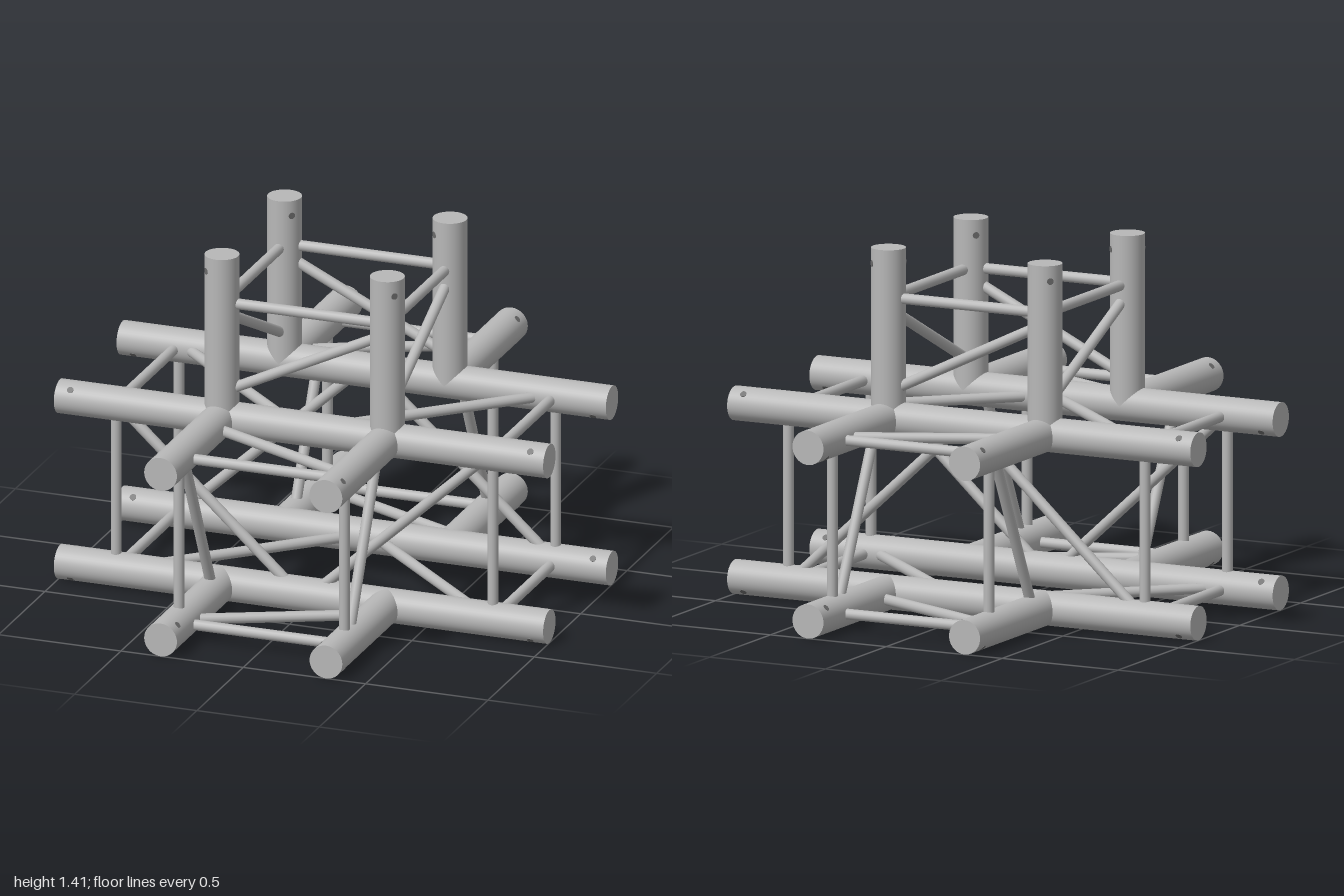
import * as THREE from 'three';

export function createModel() {
  const model = new THREE.Group();
  const metal = new THREE.MeshStandardMaterial({ color: 0xb8b8b8 });
  metal.name = 'aluminium';
  const dark = new THREE.MeshStandardMaterial({ color: 0x6c6c6c });
  dark.name = 'pinHoleGrey';

  const R = 0.067;            // main tube radius
  const r = 0.021;            // brace radius
  const A = 0.338;            // tube axis offset from the centre
  const LOW = R, HIGH = 0.743, TOP = 1.41;
  const UP = new THREE.Vector3(0, 1, 0);

  // Cylinder between two points, optionally lengthened at both ends
  function rod(name, a, b, radius, mat = metal, extra = 0, sides = 16) {
    const p = new THREE.Vector3(...a), q = new THREE.Vector3(...b);
    const dir = q.clone().sub(p);
    const length = dir.length() + 2 * extra;
    const mesh = new THREE.Mesh(new THREE.CylinderGeometry(radius, radius, length, sides), mat);
    mesh.position.copy(p).add(q).multiplyScalar(0.5);
    mesh.quaternion.setFromUnitVectors(UP, dir.normalize());
    mesh.name = name;
    model.add(mesh);
  }
  const tube = (name, a, b) => rod(name, a, b, R, metal, 0, 40);
  const brace = (name, a, b) => rod(name, a, b, r, metal, 0.03);

  // Pin hole running diagonally through a tube
  function pinHole(c, d) {
    const k = (R + 0.001) / Math.SQRT2;
    rod('pinHole', c.map((v, i) => v - d[i] * k), c.map((v, i) => v + d[i] * k), 0.013, dark);
  }

  const signs = [-1, 1];
  const levels = [[LOW, -1], [HIGH, 1]];

  // Main chords, side arms and their pin holes
  for (const s of signs) {
    for (const [y, v] of levels) {
      tube('mainChord', [-1, y, s * A], [1, y, s * A]);
      for (const e of signs) {
        tube('sideArm', [s * A, y, e * A], [s * A, y, e]);
        pinHole([e * 0.94, y, s * A], [0, v, s]);
        pinHole([s * A, y, e * 0.94], [s, v, 0]);
      }
    }
    // Upright posts
    for (const e of signs) {
      tube('uprightPost', [s * A, HIGH, e * A], [s * A, TOP, e * A]);
      pinHole([s * A, 1.35, e * A], [s, 0, e]);
    }
  }

  const G = 0.27;             // half gap between tube surfaces
  const Y0 = 0.135, Y1 = 0.677;

  for (const e of signs) {
    // Straight and diagonal braces on the upper and lower panels
    for (const [y, v] of levels) {
      brace('endBrace', [e * 0.77, y, -G], [e * 0.77, y, G]);
      brace('endBrace', [-G, y, e * 0.8], [G, y, e * 0.8]);
      brace('diagonalBrace', [e * 0.1, y, v * G], [e * 0.68, y, -v * G]);
      brace('diagonalBrace', [-v * G, y, e * 0.48], [v * G, y, e * 0.73]);
    }
    // Straight and diagonal braces on the vertical panels
    for (const s of signs) {
      brace('verticalBrace', [e * 0.77, Y0, s * A], [e * 0.77, Y1, s * A]);
      brace('verticalBrace', [s * A, Y0, e * 0.8], [s * A, Y1, e * 0.8]);
      const [xLow, xHigh] = s > 0 ? [0.1, 0.69] : [0.69, 0.1];
      brace('diagonalBrace', [e * xLow, Y0, s * A], [e * xHigh, Y1, s * A]);
      const [zLow, zHigh] = s > 0 ? [0.73, 0.47] : [0.47, 0.73];
      brace('diagonalBrace', [s * A, Y0, e * zLow], [s * A, Y1, e * zHigh]);
    }
    // Braces between the upright posts
    brace('postBrace', [-G, 1.215, e * A], [G, 1.215, e * A]);
    brace('postBrace', [e * A, 1.215, -G], [e * A, 1.215, G]);
    brace('postDiagonal', [-e * G, 0.88, e * A], [e * G, 1.14, e * A]);
    brace('postDiagonal', [e * A, 0.88, e * G], [e * A, 1.14, -e * G]);
  }
  return model;
}
